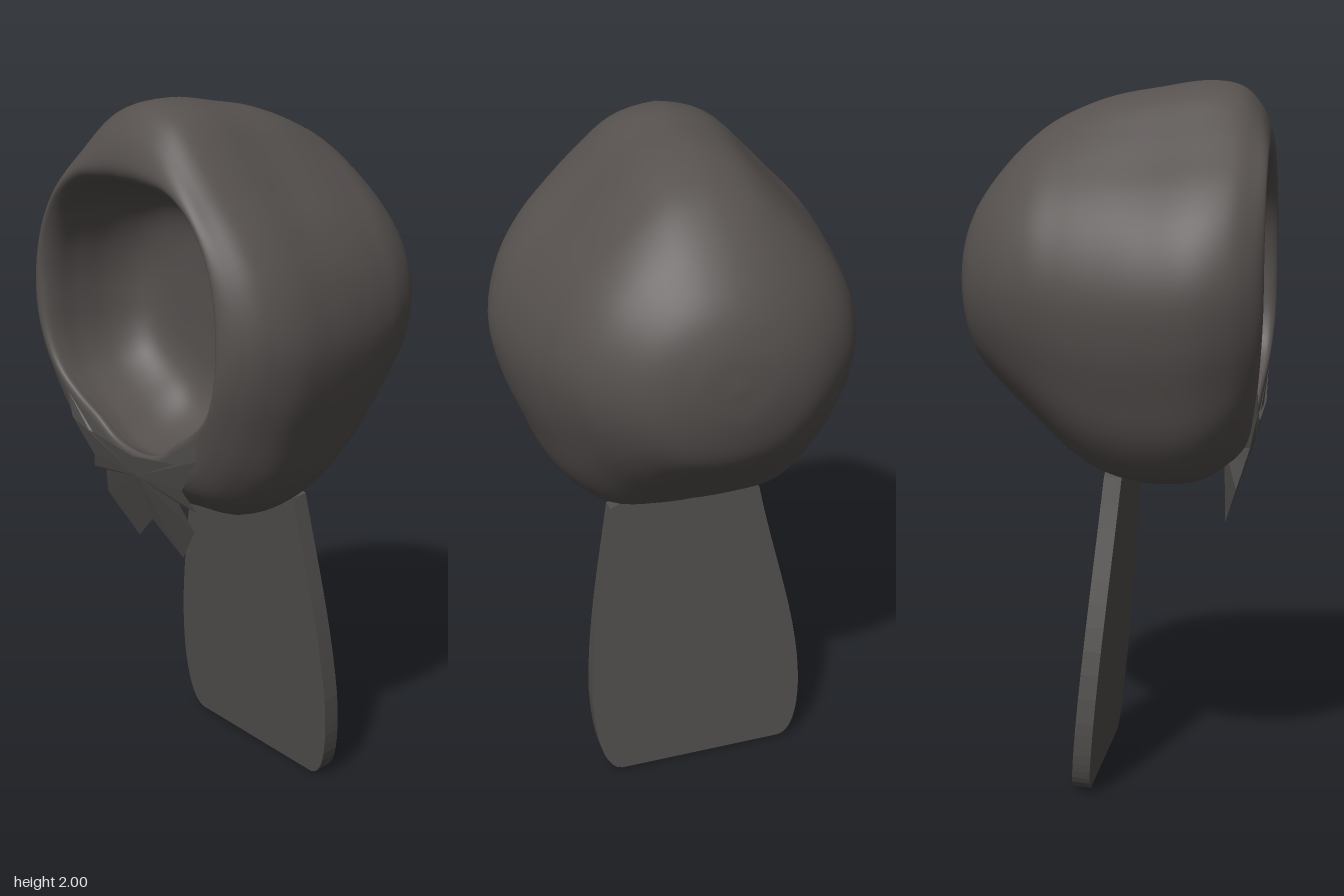
import * as THREE from 'three';
import { mergeVertices } from 'three/addons/utils/BufferGeometryUtils.js';

// Radius factors of the peaked hood outline, from straight up to straight down in 15 degree steps
const OUTLINE = [1, 0.972, 0.9, 0.878, 0.914, 0.966, 1, 0.994, 1.0, 1.055, 1.085, 1.02, 1];
const outlineCurve = new THREE.CatmullRomCurve3(
  OUTLINE.map((r, i) => new THREE.Vector3(r, i, 0)), false, 'catmullrom', 0.5);

// Hood stations: z, half width, top y, bottom y, peak amount, backward lean of the lower edge
const STATIONS = [
  // outside, from the back of the head to the front
  [-0.445, 0, 1.45, 1.45, 0, 0],
  [-0.433, 0.125, 1.56, 1.33, 0, 0],
  [-0.39, 0.248, 1.67, 1.21, 0.1, 0],
  [-0.3, 0.357, 1.787, 1.115, 0.3, 0],
  [-0.2, 0.418, 1.877, 1.025, 0.5, 0],
  [-0.1, 0.453, 1.93, 0.94, 0.7, 0],
  [0, 0.48, 1.963, 0.89, 0.85, 0],
  [0.12, 0.506, 1.983, 0.87, 1, 0],
  [0.25, 0.52, 2.0, 0.88, 1, 0],
  [0.35, 0.497, 1.985, 0.93, 0.85, 0.01],
  [0.41, 0.455, 1.925, 0.985, 0.45, 0.02],
  // rolled rim of the face opening
  [0.438, 0.412, 1.85, 1.03, -0.3, 0.04],
  [0.428, 0.387, 1.805, 1.045, -0.75, 0.04],
  [0.39, 0.376, 1.785, 1.035, -0.8, 0.03],
  // shallow lining closed by a flat back wall
  [0.32, 0.374, 1.775, 1.03, -0.8, 0],
  [0.22, 0.362, 1.75, 1.05, -0.8, 0],
  [0.145, 0.325, 1.7, 1.1, -0.8, 0],
  [0.108, 0.26, 1.63, 1.18, -0.6, 0],
  [0.1, 0.14, 1.53, 1.3, -0.3, 0],
  [0.1, 0, 1.42, 1.42, 0, 0],
];

// Closed loops run over the outside, around the rim and back along the lining
function hoodGeometry(rings = 133, sides = 96) {
  const curve = (a, b, c) => new THREE.CatmullRomCurve3(
    STATIONS.map((s) => new THREE.Vector3(s[a], s[b], s[c])), false, 'catmullrom', 0.5);
  const bodyCurve = curve(0, 1, 4);
  const heightCurve = curve(2, 3, 5);
  const pos = [];
  const index = [];
  for (let i = 0; i <= rings; i++) {
    const t = i / rings;
    const { x: z, y: w, z: peak } = bodyCurve.getPoint(t);
    const { x: top, y: bottom, z: lean } = heightCurve.getPoint(t);
    const mid = bottom + (top - bottom) * 0.49;
    for (let j = 0; j < sides; j++) {
      const a = (j / sides) * Math.PI * 2;
      const s = Math.sin(a);
      const k = (Math.PI / 2 - Math.asin(THREE.MathUtils.clamp(s, -1, 1))) / Math.PI;
      const r = 1 + (outlineCurve.getPoint(k).x - 1) * peak;
      const v = r * s;
      const x = Math.max(w, 0) * r * Math.cos(a);
      // soft dent at the nape
      const dent = 0.03 * Math.max(0, -s) * Math.exp(-((x / 0.11) ** 2) - ((z + 0.15) / 0.1) ** 2);
      pos.push(x, mid + v * (v > 0 ? top - mid : mid - bottom) + dent,
        z - lean * Math.max(0, -v) ** 2);
      if (i < rings) {
        const p = i * sides + j;
        const q = i * sides + ((j + 1) % sides);
        index.push(p, q, p + sides, q, q + sides, p + sides);
      }
    }
  }
  const g = new THREE.BufferGeometry();
  g.setAttribute('position', new THREE.Float32BufferAttribute(pos, 3));
  g.setIndex(index);
  const merged = mergeVertices(g, 1e-5);
  merged.computeVertexNormals();
  return merged;
}

// Long hanging panel, narrow at the neck with rounded lower corners
function panelGeometry() {
  const s = new THREE.Shape();
  s.moveTo(-0.27, 0.008);
  s.lineTo(0.25, 0);
  s.bezierCurveTo(0.31, 0.01, 0.33, 0.13, 0.332, 0.28);
  s.bezierCurveTo(0.325, 0.5, 0.28, 0.7, 0.245, 0.9);
  s.lineTo(0.12, 0.95);
  s.lineTo(0, 0.92);
  s.lineTo(-0.12, 0.95);
  s.lineTo(-0.215, 0.9);
  s.bezierCurveTo(-0.26, 0.65, -0.335, 0.45, -0.34, 0.22);
  s.bezierCurveTo(-0.34, 0.1, -0.32, 0.015, -0.27, 0.008);
  return new THREE.ExtrudeGeometry(s, { depth: 0.05, bevelEnabled: false, curveSegments: 10 });
}

// Folded neck tie: outline fanned to a raised front knot and a sunken back point
function tieGeometry() {
  const rim = [
    [0, 1.04], [-0.2, 1.07], [-0.3, 1.165], [-0.28, 1.09], [-0.21, 0.99], [-0.23, 0.945],
    [-0.17, 0.95], [-0.2, 0.87], [-0.1, 0.755], [0, 0.84], [0.1, 0.745], [0.2, 0.86],
    [0.165, 0.94], [0.24, 0.935], [0.2, 0.99], [0.29, 1.1], [0.295, 1.165], [0.2, 1.07],
  ].map(([x, y]) => [x, y, Math.min(0.42, 0.32 + (y - 0.75) * 0.32)]);
  const front = [0, 0.98, 0.4];
  const back = [0, 0.96, 0.31];
  const pos = [];
  rim.forEach((p, i) => {
    const q = rim[(i + 1) % rim.length];
    pos.push(...front, ...p, ...q, ...back, ...q, ...p);
  });
  const g = new THREE.BufferGeometry();
  g.setAttribute('position', new THREE.Float32BufferAttribute(pos, 3));
  g.computeVertexNormals();
  return g;
}

export function createModel() {
  const hoodCloth = new THREE.MeshStandardMaterial({ color: 0x56514f });
  hoodCloth.name = 'hood cloth';
  const panelCloth = new THREE.MeshStandardMaterial({ color: 0x504e4c });
  panelCloth.name = 'panel cloth';

  const model = new THREE.Group();
  model.name = 'hoodWithPanel';
  const add = (name, geometry, material) => {
    const mesh = new THREE.Mesh(geometry, material);
    mesh.name = name;
    model.add(mesh);
    return mesh;
  };

  add('hood', hoodGeometry(), hoodCloth);
  add('neckTie', tieGeometry(), panelCloth);
  const panel = add('backPanel', panelGeometry(), panelCloth);
  panel.position.set(0, 0.005, -0.091);
  panel.rotation.x = 0.09;
  return model;
}
